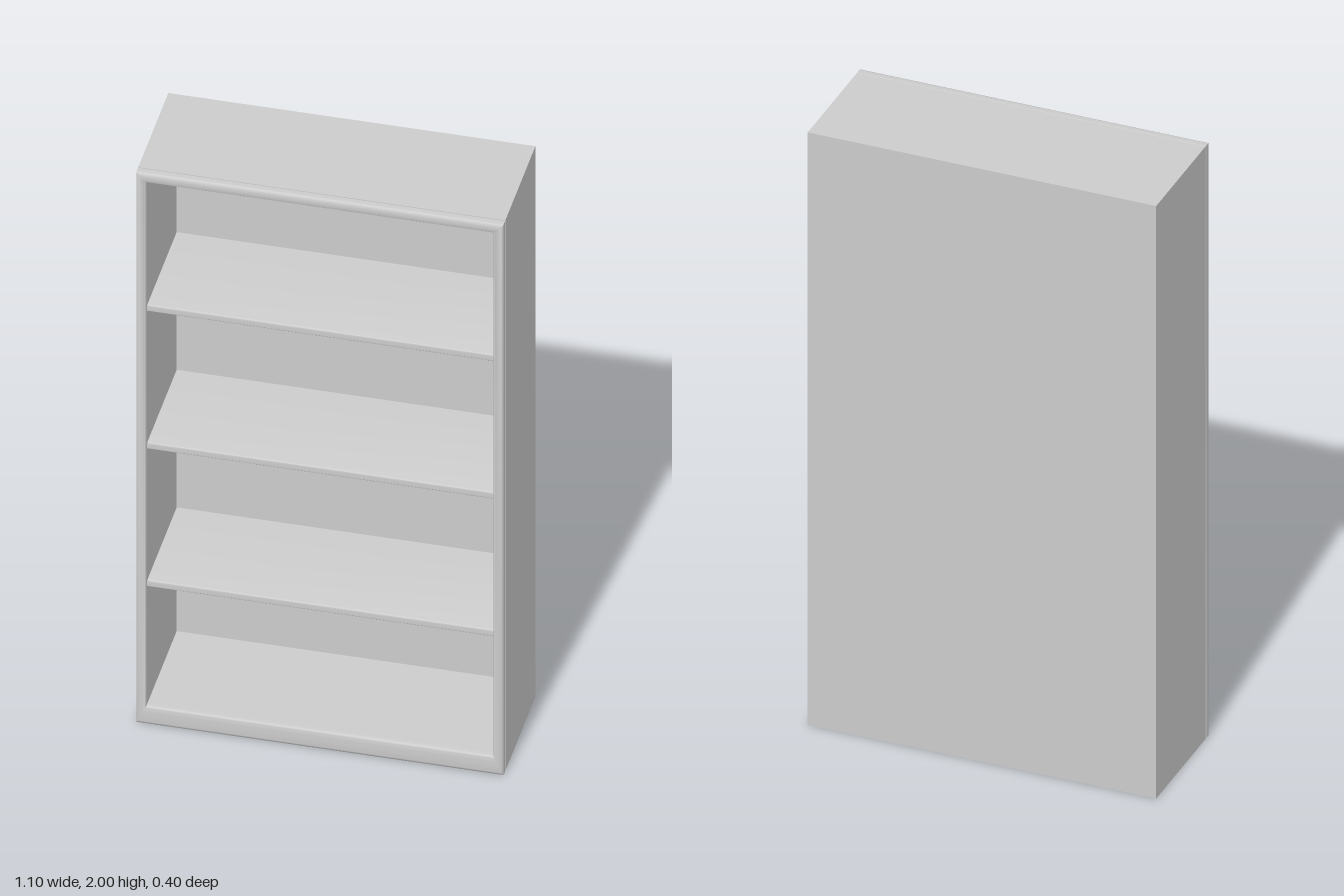
import * as THREE from 'three';
import { toCreasedNormals } from 'three/addons/utils/BufferGeometryUtils.js';

const W = 0.55, H = 2, BACK = -0.2, FRONT = 0.2, SEAM = 0.172;
const SIDE = 0.03, TOP = 0.033, BASE = 0.065, BACK_T = 0.02;
const material = new THREE.MeshStandardMaterial({ color: 0xcccccc, roughness: 0.8 });

function add(group, name, geometry, x = 0, y = 0, z = 0) {
  const mesh = new THREE.Mesh(geometry, material);
  mesh.name = name;
  mesh.position.set(x, y, z);
  group.add(mesh);
}

// Box given by its limits on each axis
function panel(group, name, [x0, x1], [y0, y1], [z0, z1]) {
  add(group, name, new THREE.BoxGeometry(x1 - x0, y1 - y0, z1 - z0),
    (x0 + x1) / 2, (y0 + y1) / 2, (z0 + z1) / 2);
}

// Mitred face frame: a softly rounded profile swept between outer and inner rectangles
function frameGeometry() {
  const outer = [[-W, 0], [W, 0], [W, H], [-W, H]];
  const inner = [[-W + SIDE, BASE], [W - SIDE, BASE], [W - SIDE, H - TOP], [-W + SIDE, H - TOP]];
  const profile = [[0.08, SEAM], [0, SEAM + 0.003]];
  const steps = 12;
  for (let i = 0; i <= steps; i++) {
    const a = Math.PI * i / steps, c = Math.cos(a);
    const u = 0.5 - 0.5 * Math.sign(c) * Math.pow(Math.abs(c), 0.6);
    profile.push([u, FRONT - 0.01 + 0.01 * Math.pow(Math.sin(a), 0.8)]);
  }
  profile.push([1, SEAM], [0.08, SEAM]);
  const at = (corner, [u, z]) => [
    THREE.MathUtils.lerp(outer[corner][0], inner[corner][0], u),
    THREE.MathUtils.lerp(outer[corner][1], inner[corner][1], u), z];
  const positions = [];
  for (let a = 0; a < 4; a++) {
    const b = (a + 1) % 4;
    for (let j = 0; j < profile.length - 1; j++) {
      const p = profile[j], q = profile[j + 1];
      positions.push(...at(a, p), ...at(b, p), ...at(b, q), ...at(a, p), ...at(b, q), ...at(a, q));
    }
  }
  const geometry = new THREE.BufferGeometry();
  geometry.setAttribute('position', new THREE.Float32BufferAttribute(positions, 3));
  return toCreasedNormals(geometry, 0.7);
}

// Shelf with a bullnosed front edge, extruded across the width
function shelfGeometry(width, thickness, back, front) {
  const r = 0.008, h = thickness / 2;
  const s = new THREE.Shape();
  s.moveTo(-back, -h);
  s.lineTo(-back, h);
  s.lineTo(-front + r, h);
  s.quadraticCurveTo(-front, h, -front, h - r);
  s.lineTo(-front, -h + r);
  s.quadraticCurveTo(-front, -h, -front + r, -h);
  s.closePath();
  const g = new THREE.ExtrudeGeometry(s, { depth: width, bevelEnabled: false, curveSegments: 6 });
  g.translate(0, 0, -width / 2);
  g.rotateY(Math.PI / 2);
  return toCreasedNormals(g, 0.6);
}

export function createModel() {
  const bookcase = new THREE.Group();
  bookcase.name = 'bookcase';
  const inX = W - SIDE, inBack = BACK + BACK_T;

  // Carcass
  panel(bookcase, 'leftSide', [inX, W], [0, H], [BACK, SEAM]);
  panel(bookcase, 'rightSide', [-W, -inX], [0, H], [BACK, SEAM]);
  panel(bookcase, 'topPanel', [-inX, inX], [H - TOP, H], [BACK, SEAM]);
  panel(bookcase, 'basePanel', [-inX, inX], [0, BASE], [BACK, SEAM]);
  panel(bookcase, 'backPanel', [-inX, inX], [BASE, H - TOP], [BACK, inBack]);

  // Face frame
  add(bookcase, 'faceFrame', frameGeometry());

  // Shelves
  const shelf = shelfGeometry(2 * inX, 0.025, inBack, 0.185);
  [0.5, 1, 1.5].forEach((y, i) => add(bookcase, `shelf${i + 1}`, shelf, 0, y + 0.002, 0));

  return bookcase;
}
